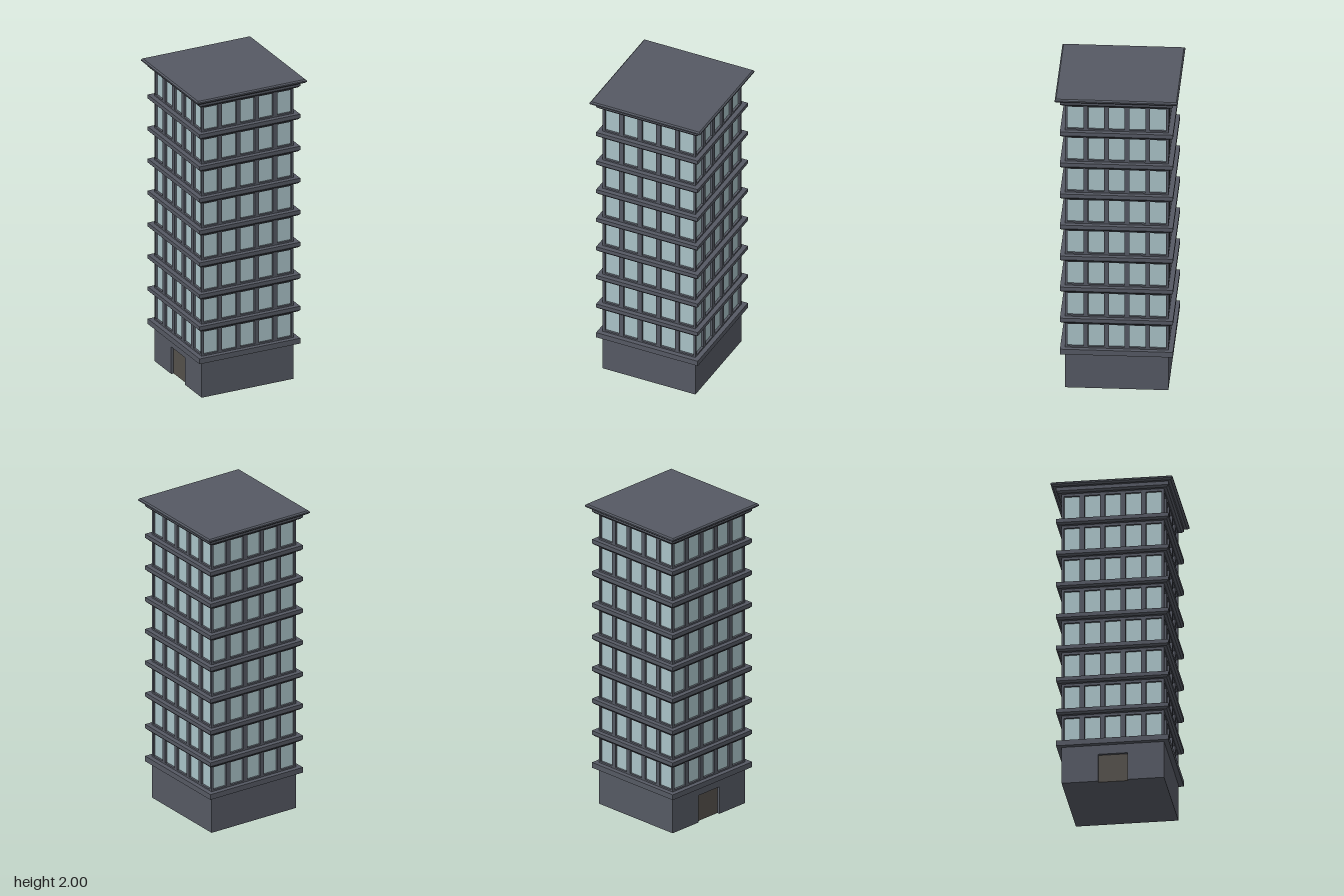
import * as THREE from 'three';

const HALF = 0.315;      // half width of the tower walls
const BASE = 0.24;       // height of the solid ground floor
const FIRST = 0.275;     // first floor level
const PITCH = 0.2127;    // storey height
const FLOORS = 8;
const BAYS = 5;
const WALL = 0.014;      // depth of the window frames

const stone = new THREE.MeshStandardMaterial({ color: 0x555963 });
const glass = new THREE.MeshStandardMaterial({ color: 0xa9c2c7 });
const wood = new THREE.MeshStandardMaterial({ color: 0x54504b });

function add(parent, name, geometry, material, x = 0, y = 0, z = 0) {
  const mesh = new THREE.Mesh(geometry, material);
  mesh.name = name;
  mesh.position.set(x, y, z);
  parent.add(mesh);
  return mesh;
}

// Square moulding swept from [half width, height] pairs, bottom to top
function moulding(profile) {
  const pts = profile.map(([r, y]) => new THREE.Vector2(r * Math.SQRT2, y));
  pts.unshift(new THREE.Vector2(0, pts[0].y));
  pts.push(new THREE.Vector2(0, pts[pts.length - 1].y));
  const g = new THREE.LatheGeometry(pts, 4, Math.PI / 4).toNonIndexed();
  g.computeVertexNormals();
  return g;
}

function rectangle(Type, x0, y0, x1, y1) {
  const r = new Type();
  r.moveTo(x0, y0);
  r.lineTo(x1, y0);
  r.lineTo(x1, y1);
  r.lineTo(x0, y1);
  r.closePath();
  return r;
}

// One side of the tower: a wall sheet pierced by the window grid
function windowWall(halfWidth) {
  const top = FIRST + FLOORS * PITCH - 0.01;
  const shape = rectangle(THREE.Shape, -halfWidth, BASE, halfWidth, top);
  const bay = 2 * HALF / BAYS;
  for (let f = 0; f < FLOORS; f++) {
    for (let b = 0; b < BAYS; b++) {
      const x = (b - (BAYS - 1) / 2) * bay;
      const y = FIRST + f * PITCH + 0.01;
      shape.holes.push(rectangle(THREE.Path, x - 0.0485, y, x + 0.0485, y + 0.15));
    }
  }
  return new THREE.ExtrudeGeometry(shape, { depth: WALL, bevelEnabled: false });
}

export function createModel() {
  const tower = new THREE.Group();
  tower.name = 'tower';

  // Ground floor with a recessed doorway in the -x side
  const recess = 0.02;
  add(tower, 'groundFloor', new THREE.BoxGeometry(2 * HALF - recess, BASE, 2 * HALF),
    stone, recess / 2, BASE / 2, 0);
  const face = new THREE.Shape([
    [-HALF, 0], [-0.09, 0], [-0.09, 0.18], [0.09, 0.18],
    [0.09, 0], [HALF, 0], [HALF, BASE], [-HALF, BASE],
  ].map(([x, y]) => new THREE.Vector2(x, y)));
  const doorWall = add(tower, 'doorWall',
    new THREE.ExtrudeGeometry(face, { depth: recess, bevelEnabled: false }),
    stone, -HALF + recess, 0, 0);
  doorWall.rotation.y = -Math.PI / 2;
  add(tower, 'door', new THREE.BoxGeometry(0.004, 0.18, 0.18), wood, -HALF + recess - 0.001, 0.09, 0);

  // Glass core behind the frames
  const coreHeight = FLOORS * PITCH;
  const core = 2 * (HALF - WALL);
  add(tower, 'glazing', new THREE.BoxGeometry(core, coreHeight, core), glass, 0, FIRST + coreHeight / 2 - 0.01, 0);

  // Window frames on all four sides
  for (let i = 0; i < 4; i++) {
    const side = new THREE.Group();
    side.name = 'windowSide';
    side.rotation.y = i * Math.PI / 2;
    add(side, 'windowFrames', windowWall(i % 2 ? HALF - WALL : HALF), stone, 0, 0, HALF - WALL);
    tower.add(side);
  }

  // Plain band over the ground floor
  add(tower, 'baseBand', new THREE.BoxGeometry(0.69, FIRST - BASE, 0.69), stone, 0, (FIRST + BASE) / 2, 0);

  // Ledge above every storey, chamfered underneath
  const ledge = moulding([[0.333, -0.037], [0.345, -0.025], [0.345, 0]]);
  for (let f = 1; f <= FLOORS; f++) {
    add(tower, 'floorLedge', ledge, stone, 0, FIRST + f * PITCH, 0);
  }

  // Roof slab with bevelled edges
  add(tower, 'roof', moulding([[0.362, 1.974], [0.375, 1.984], [0.375, 1.992], [0.367, 2]]), stone);

  return tower;
}
